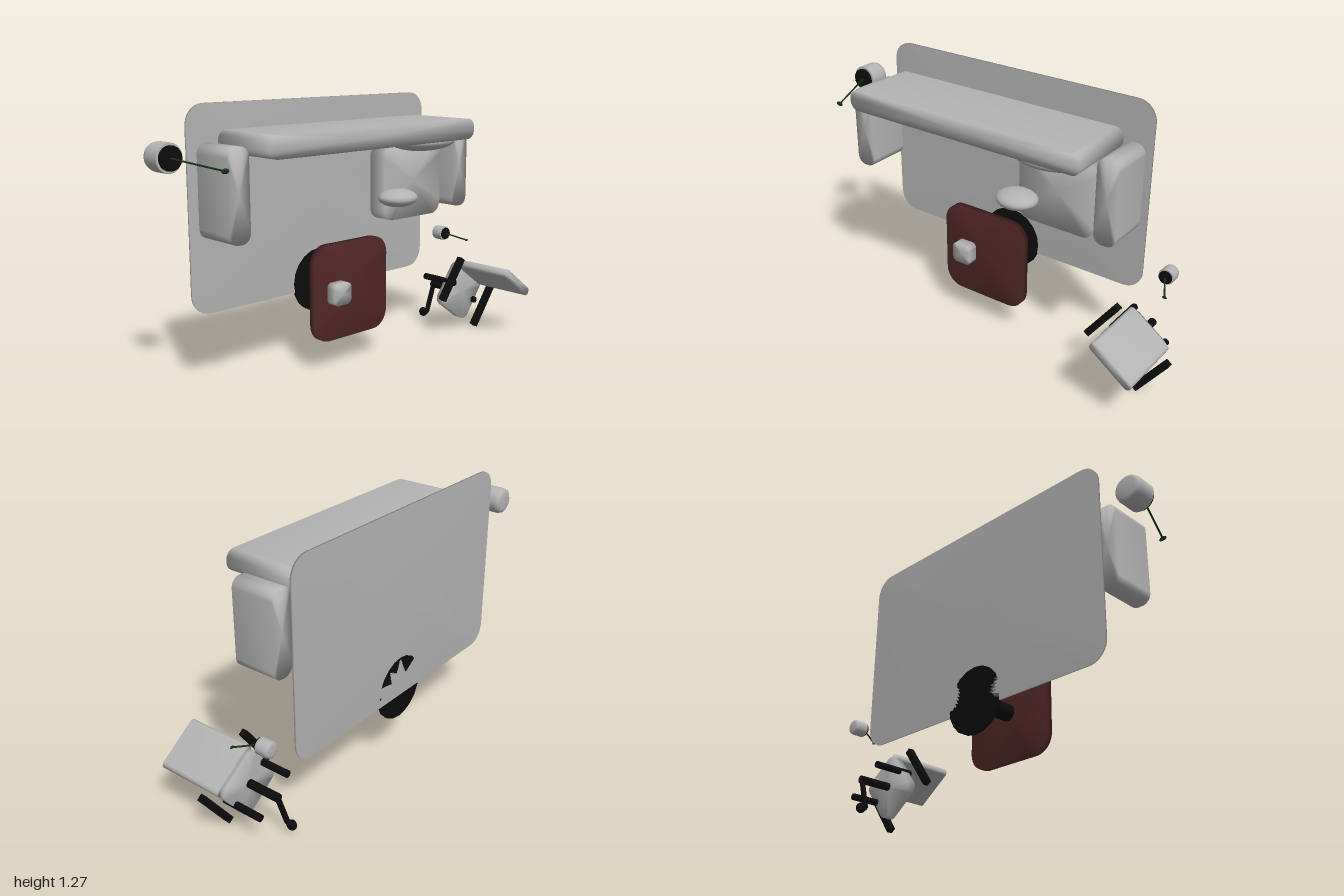
import * as THREE from 'three';

const mat = (name, color) => Object.assign(new THREE.MeshStandardMaterial({ color }), { name });

export function createModel() {
  const root = new THREE.Group();
  root.name = 'livingRoomSet';
  const grey = mat('fabricGrey', 0xb4b4b4);
  const red = mat('tableRed', 0x522727);
  const black = mat('black', 0x0c0c0c);
  const green = mat('leafGreen', 0x16341a);

  const add = (parent, name, geo, material, x = 0, y = 0, z = 0) => {
    const m = new THREE.Mesh(geo, material);
    m.name = name;
    m.position.set(x, y, z);
    parent.add(m);
    return m;
  };

  // Softly shaded rounded slab: two fan caps sharing their rim with the wall
  function slabGeo(w, h, d, r, steps = 8) {
    const rim = [];
    for (let c = 0; c < 4; c++) {
      const cx = (c === 0 || c === 3 ? 1 : -1) * (w / 2 - r);
      const cy = (c < 2 ? 1 : -1) * (h / 2 - r);
      for (let i = 0; i <= steps; i++) {
        const a = (c + i / steps) * Math.PI / 2;
        rim.push([cx + r * Math.cos(a), cy + r * Math.sin(a)]);
      }
    }
    const n = rim.length, pos = [], idx = [];
    for (const z of [d / 2, -d / 2]) for (const [x, y] of rim) pos.push(x, y, z);
    pos.push(0, 0, d / 2, 0, 0, -d / 2);
    for (let i = 0; i < n; i++) {
      const j = (i + 1) % n;
      idx.push(2 * n, i, j, 2 * n + 1, n + j, n + i, i, n + i, j, j, n + i, n + j);
    }
    const g = new THREE.BufferGeometry();
    g.setAttribute('position', new THREE.Float32BufferAttribute(pos, 3));
    g.setIndex(idx);
    g.computeVertexNormals();
    return g;
  }
  const slab = (parent, name, material, x0, x1, y0, y1, z0, z1, r) =>
    add(parent, name, slabGeo(x1 - x0, y1 - y0, z1 - z0, r), material,
      (x0 + x1) / 2, (y0 + y1) / 2, (z0 + z1) / 2);

  // Round rod between two points
  function rod(parent, name, material, a, b, r) {
    const p = new THREE.Vector3(...a), q = new THREE.Vector3(...b);
    const dir = q.clone().sub(p);
    const m = add(parent, name, new THREE.CylinderGeometry(r, r, dir.length(), 20), material);
    m.position.copy(p).add(q).multiplyScalar(0.5);
    m.quaternion.setFromUnitVectors(new THREE.Vector3(0, 1, 0), dir.normalize());
    return m;
  }
  const blob = (parent, name, material, x, y, z, rx, ry, rz) =>
    add(parent, name, new THREE.SphereGeometry(1, 32, 20), material, x, y, z).scale.set(rx, ry, rz);

  // Rug
  slab(root, 'rug', grey, -0.79, 0.69, 0.34, 1.28, -0.27, -0.26, 0.095);

  // Sofa
  const sofa = new THREE.Group();
  sofa.name = 'sofa';
  root.add(sofa);
  slab(sofa, 'sofaBack', grey, -0.69, 0.59, 1.07, 1.17, -0.17, 0.183, 0.045);
  for (const x of [-0.8, 0.59])
    slab(sofa, 'sofaArm', grey, x, x + 0.11, 0.71, 1.12, -0.17, 0.047, 0.045);
  slab(sofa, 'seatCushion', grey, 0.16, 0.56, 0.68, 1.05, -0.11, -0.01, 0.06);
  blob(sofa, 'backCushion', grey, 0.36, 1.068, 0.05, 0.19, 0.05, 0.133);
  blob(sofa, 'throwPillow', grey, 0.19, 0.803, 0.05, 0.102, 0.043, 0.09);

  // Pedestal table with a small box on it
  const table = new THREE.Group();
  table.name = 'table';
  root.add(table);
  slab(table, 'tableTop', red, -0.285, 0.185, 0.15, 0.615, -0.055, -0.022, 0.09);
  rod(table, 'tableColumn', black, [-0.05, 0.383, -0.26], [-0.05, 0.383, -0.055], 0.04);
  rod(table, 'tableBase', black, [-0.05, 0.383, -0.27], [-0.05, 0.383, -0.255], 0.16);
  slab(table, 'tableBox', grey, -0.205, -0.1, 0.33, 0.435, -0.022, 0.03, 0.025);

  // Desk chair, built straight and turned in plan
  const chair = new THREE.Group();
  chair.name = 'chair';
  chair.position.set(0.778, 0.212, 0);
  chair.rotation.z = -0.63;
  root.add(chair);
  slab(chair, 'chairSeat', grey, -0.12, 0.12, -0.125, 0.125, -0.07, -0.022, 0.04);
  slab(chair, 'chairBack', grey, -0.125, 0.125, 0.092, 0.137, -0.05, 0.288, 0.02);
  for (const s of [-1, 1]) {
    add(chair, 'chairArm', new THREE.BoxGeometry(0.032, 0.25, 0.03), black, s * 0.163, 0, 0.012);
    rod(chair, 'armPost', black, [s * 0.108, 0, -0.215], [s * 0.108, 0, -0.005], 0.017);
  }
  rod(chair, 'chairColumn', black, [0, 0, -0.24], [0, 0, -0.07], 0.02);

  // Chair foot with a castor
  rod(root, 'chairFoot', black, [0.778, 0.212, -0.232], [0.73, 0.06, -0.237], 0.013);
  rod(root, 'castorStem', black, [0.73, 0.06, -0.235], [0.73, 0.055, -0.265], 0.013);
  blob(root, 'castor', black, 0.73, 0.053, -0.264, 0.02, 0.025, 0.025);

  // Potted plants: pot, soil, leaning stem with a flat leaf
  function plant(name, x, y, r, z0, z1, soilTop, tip) {
    const g = new THREE.Group();
    g.name = name;
    root.add(g);
    const h = z1 - z0;
    const profile = [[0, 0], [r * 0.7, 0], [r * 0.92, h * 0.08], [r, h * 0.25],
      [r, h * 0.97], [r * 0.96, h], [0, h]].map(p => new THREE.Vector2(...p));
    add(g, 'pot', new THREE.LatheGeometry(profile, 32), grey, x, y, z0).rotation.x = Math.PI / 2;
    rod(g, 'soil', black, [x, y, z1 - 0.01], [x, y, soilTop], r * 0.83);
    rod(g, 'stem', green, [x, y, soilTop], tip, 0.004);
    blob(g, 'leaf', green, ...tip, r * 0.3, r * 0.17, 0.004);
  }
  plant('largePlant', -0.935, 1.07, 0.065, -0.275, -0.165, -0.152, [-0.85, 1.035, 0.103]);
  plant('smallPlant', 0.835, 0.497, 0.038, -0.272, -0.205, -0.196, [0.888, 0.468, -0.093]);

  return root;
}
